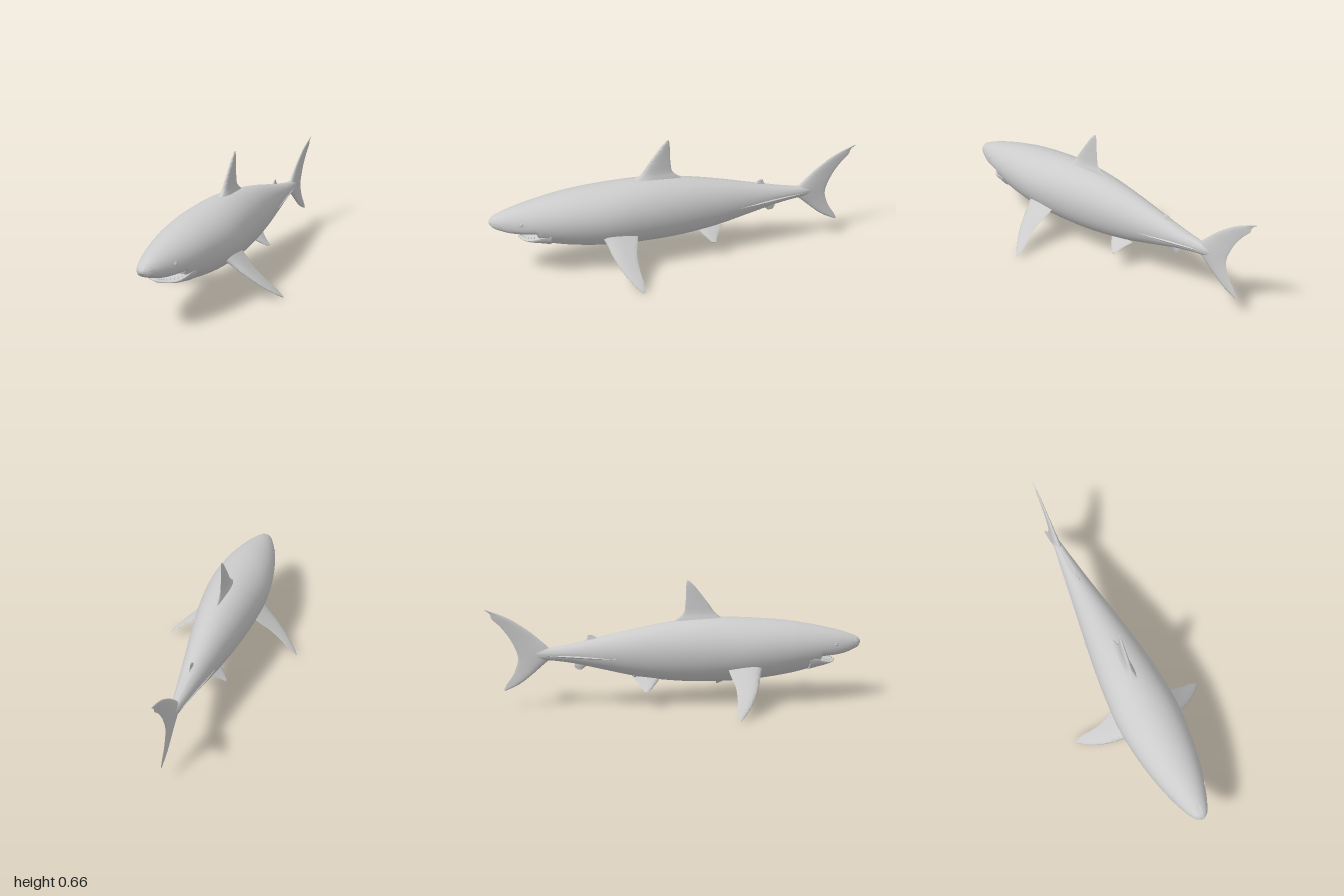
import * as THREE from 'three';
import { toCreasedNormals } from 'three/addons/utils/BufferGeometryUtils.js';

const material = new THREE.MeshStandardMaterial({ color: 0xcccccc, roughness: 0.8 });

// Smooth lookup through rows of [position, ...values]
function spline(rows) {
  const n = rows[0].length - 1;
  const f = new THREE.CubicInterpolant(rows.map(r => r[0]), rows.flatMap(r => r.slice(1)), n, new Array(n));
  return t => Array.from(f.evaluate(t));
}

// Skin a list of closed rings and cap both ends; flip for mirrored parts
function loft(rings, flip = false, crease = 1.0) {
  const n = rings[0].length, last = rings.length - 1;
  const pos = rings.flat(2), index = [];
  const tri = (a, b, c) => (flip ? index.push(a, c, b) : index.push(a, b, c));
  const centre = ring => [0, 1, 2].map(k => ring.reduce((s, p) => s + p[k], 0) / n);
  pos.push(...centre(rings[0]), ...centre(rings[last]));
  const c0 = rings.length * n, c1 = c0 + 1;
  for (let j = 0; j < n; j++) {
    const k = (j + 1) % n;
    for (let i = 0; i < last; i++) {
      tri(i * n + j, i * n + n + j, i * n + k);
      tri(i * n + k, i * n + n + j, i * n + n + k);
    }
    tri(c0, j, k);
    tri(c1, last * n + k, last * n + j);
  }
  const geo = new THREE.BufferGeometry();
  geo.setAttribute('position', new THREE.Float32BufferAttribute(pos, 3));
  geo.setIndex(index);
  return toCreasedNormals(geo, crease);
}

// Rounded section: top half and bottom half meet at the widest height
function section(z, top, mid, bottom, w, power = 2, n = 36) {
  return Array.from({ length: n }, (_, j) => {
    const a = (j / n) * Math.PI * 2, s = Math.sin(a), c = Math.cos(a);
    const e = c < 0 ? 2 / power : 1;
    const x = w * Math.sign(s) * Math.abs(s) ** e;
    const y = c > 0 ? mid + (top - mid) * c : mid - (mid - bottom) * Math.abs(c) ** e;
    return [x, y, z];
  });
}

// z, top, widest height, belly and chin, half width
const body = spline([
  [-0.78, 0.31, 0.29, 0.272, 0.006], [-0.72, 0.318, 0.29, 0.26, 0.02],
  [-0.65, 0.326, 0.29, 0.254, 0.031], [-0.55, 0.343, 0.29, 0.238, 0.046],
  [-0.4, 0.375, 0.29, 0.202, 0.07], [-0.2, 0.418, 0.295, 0.155, 0.103],
  [0, 0.45, 0.3, 0.128, 0.134], [0.2, 0.465, 0.3, 0.12, 0.157],
  [0.4, 0.457, 0.3, 0.127, 0.167], [0.6, 0.438, 0.3, 0.152, 0.149],
  [0.7, 0.421, 0.3, 0.174, 0.131], [0.8, 0.4, 0.299, 0.2, 0.107],
  [0.9, 0.374, 0.302, 0.24, 0.074], [0.96, 0.352, 0.31, 0.27, 0.047],
  [0.985, 0.34, 0.314, 0.285, 0.031], [1, 0.323, 0.315, 0.305, 0.01],
]);
// Underside of the snout
const lip = spline([[0.7, 0.252], [0.8, 0.249], [0.9, 0.259], [0.96, 0.278], [0.985, 0.29], [1, 0.307]]);
const MOUTH = 0.762;

function bodyGeometry() {
  const rings = [];
  for (let i = 0; i <= 110; i++) {
    const z = -0.78 + 1.78 * Math.sin((i / 110) * Math.PI / 2);
    const [top, mid, belly, w] = body(z);
    const snout = z > MOUTH;
    const power = 2 + 0.9 * THREE.MathUtils.smoothstep(z, 0.72, 0.78);
    rings.push(section(z, top, mid, snout ? lip(z)[0] : belly, w, snout ? power : 2));
  }
  return loft(rings);
}

// Lower jaw: height of its upper edge, and its half width
const jawTop = z => lip(z)[0] - 0.024 * THREE.MathUtils.smoothstep(z, 0.73, 0.84);
const jawWidth = z => 0.9 * body(z)[3] * Math.sqrt(Math.max(0.004, 1 - ((z - 0.7) / 0.157) ** 4));

function jawGeometry() {
  const rings = [];
  for (let i = 0; i <= 24; i++) {
    const t = Math.sin((i / 24) * Math.PI / 2), z = 0.7 + 0.157 * t;
    const top = jawTop(z), chin = body(z)[2];
    const low = chin + (top - 0.014 - chin) * t ** 8;
    rings.push(section(z, top, top - 0.007, low, jawWidth(z), 2.2));
  }
  return loft(rings);
}

// Fin from rows of [span, leading z, trailing z, half thickness];
// place() turns (thickness, span, z) into a point
function finGeometry(rows, place = (t, s, z) => [t, s, z], flip = false) {
  const at = spline(rows), n = 24, steps = 32;
  const s0 = rows[0][0], s1 = rows[rows.length - 1][0];
  const rings = [];
  for (let i = 0; i <= steps; i++) {
    const s = s0 + (s1 - s0) * i / steps;
    const [lead, trail, thick] = at(s);
    rings.push(Array.from({ length: n }, (_, j) => {
      const a = (j / n) * Math.PI * 2, c = Math.cos(a);
      const t = -thick * Math.sin(a) * (1 + 0.6 * c) * 0.85;
      return place(t, s, (lead + trail) / 2 + (lead - trail) / 2 * c);
    }));
  }
  return loft(rings, flip, 1.2);
}

const dorsal = [
  [0.435, 0.29, -0.03, 0.034], [0.46, 0.245, 0, 0.026], [0.485, 0.21, 0.032, 0.017],
  [0.54, 0.168, 0.045, 0.011], [0.6, 0.122, 0.048, 0.008], [0.645, 0.085, 0.05, 0.005], [0.665, 0.062, 0.054, 0.002],
];
const rearDorsal = [[0.345, -0.39, -0.5, 0.014], [0.368, -0.42, -0.475, 0.007], [0.386, -0.446, -0.47, 0.002]];
const anal = [[0.202, -0.505, -0.528, 0.002], [0.22, -0.482, -0.543, 0.006], [0.25, -0.45, -0.535, 0.013]];
const tail = [
  [0.1, -0.9, -0.915, 0.002], [0.13, -0.835, -0.9, 0.005], [0.18, -0.767, -0.865, 0.008],
  [0.225, -0.715, -0.845, 0.011], [0.26, -0.675, -0.836, 0.015], [0.295, -0.655, -0.839, 0.017],
  [0.33, -0.682, -0.852, 0.014], [0.37, -0.725, -0.871, 0.01], [0.41, -0.77, -0.897, 0.008],
  [0.45, -0.825, -0.93, 0.006], [0.485, -0.88, -0.965, 0.005], [0.51, -0.935, -0.972, 0.003], [0.53, -0.99, -1, 0.002],
];
const pectoral = [
  [0.11, 0.45, 0.25, 0.026], [0.16, 0.424, 0.262, 0.018], [0.22, 0.402, 0.28, 0.013],
  [0.28, 0.37, 0.28, 0.009], [0.33, 0.332, 0.272, 0.006], [0.36, 0.303, 0.272, 0.004], [0.377, 0.282, 0.275, 0.002],
];
const pelvic = [[0.02, -0.09, -0.24, 0.014], [0.05, -0.112, -0.212, 0.01], [0.075, -0.135, -0.193, 0.006], [0.098, -0.16, -0.182, 0.002]];

// Paired fins slope down and outward from the belly
const sloped = (side, x0, y0, slope) => {
  const len = Math.hypot(1, slope);
  return (t, s, z) => [side * (s - t * slope / len), y0 - slope * (s - x0) - t / len, z];
};

export function createModel() {
  const model = new THREE.Group();
  const add = (name, geo) => {
    const mesh = new THREE.Mesh(geo, material);
    mesh.name = name;
    model.add(mesh);
    return mesh;
  };

  add('body', bodyGeometry());
  add('lowerJaw', jawGeometry());
  add('dorsalFin', finGeometry(dorsal));
  add('rearDorsalFin', finGeometry(rearDorsal));
  add('analFin', finGeometry(anal));
  add('tailFin', finGeometry(tail));

  // Low ridge along both sides of the tail stem
  const keel = [];
  for (let i = 0; i <= 20; i++) {
    const z = -0.72 + 0.4 * i / 20, y = 0.287 - 0.02 * i / 20;
    const h = 0.002 + 0.012 * Math.sin(Math.PI * i / 20);
    keel.push(section(z, y + h, y, y - h, body(z)[3] + 0.5 * h - 0.002, 2, 16));
  }
  add('tailKeel', loft(keel));

  for (const [label, side] of [['left', 1], ['right', -1]]) {
    add(label + 'PectoralFin', finGeometry(pectoral, sloped(side, 0.15, 0.197, 0.86), side < 0));
    add(label + 'PelvicFin', finGeometry(pelvic, sloped(side, 0.05, 0.131, 0.78), side < 0));

    // Eye with a thin lid ring
    const eye = add(label + 'Eye', new THREE.SphereGeometry(0.009, 16, 12));
    eye.position.set(side * 0.087, 0.318, 0.845);
    const lid = add(label + 'Eyelid', new THREE.TorusGeometry(0.01, 0.0025, 8, 20));
    lid.position.set(side * 0.09, 0.318, 0.845);
    lid.rotation.y = side * 1.25;
  }

  // Small teeth around the rim of the lower jaw
  const tooth = new THREE.ConeGeometry(0.0035, 0.011, 6);
  for (let i = 0; i < 15; i++) {
    const a = (i / 14 - 0.5) * Math.PI * 0.85;
    const z = 0.765 + 0.08 * Math.cos(a);
    const mesh = add('tooth', tooth);
    mesh.position.set(Math.sin(a) * jawWidth(z) * 0.9, jawTop(z) + 0.002, z);
  }
  return model;
}
